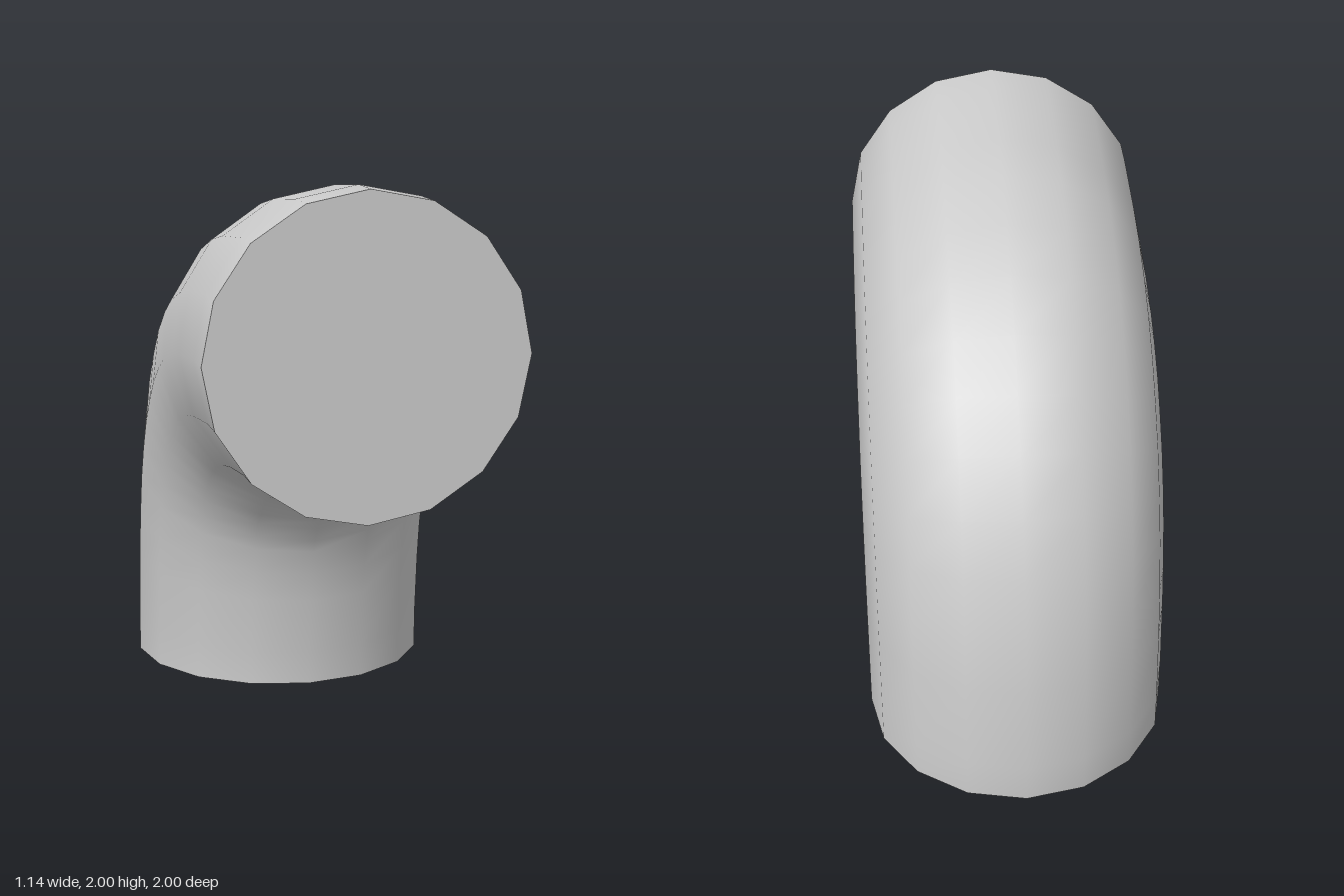
import * as THREE from 'three';

const RADIUS = 0.57;
const SIDES = 16;

// Centre line of the elbow up to its middle: [z, y, lean in degrees from vertical]
const HALF_PATH = [
  [-0.43, 0, 0],
  [-0.43, 0.14, 1.5],
  [-0.4, 0.418, 8],
  [-0.37, 0.581, 13.2],
  [-0.322, 0.747, 20.5],
  [-0.265, 0.87, 28.7],
  [-0.187, 0.994, 37],
  [-0.095, 1.095, 45],
];

// The second half mirrors the first across the diagonal
function fullPath() {
  const mirrored = HALF_PATH.slice(0, -1).reverse()
    .map(([z, y, lean]) => [1 - y, 1 - z, 90 - lean]);
  return [...HALF_PATH, ...mirrored];
}

// Sweep a ring of constant radius along the path
function pipeGeometry(path) {
  const positions = [];
  const indices = [];
  path.forEach(([z, y, lean], i) => {
    const a = THREE.MathUtils.degToRad(lean);
    for (let j = 0; j < SIDES; j++) {
      const t = (j / SIDES) * Math.PI * 2;
      const out = RADIUS * Math.cos(t);
      positions.push(RADIUS * Math.sin(t), y + out * Math.sin(a), z - out * Math.cos(a));
      if (i === path.length - 1) continue;
      const p = i * SIDES + j;
      const q = i * SIDES + ((j + 1) % SIDES);
      indices.push(p, p + SIDES, q, q, p + SIDES, q + SIDES);
    }
  });
  const geometry = new THREE.BufferGeometry();
  geometry.setAttribute('position', new THREE.Float32BufferAttribute(positions, 3));
  geometry.setIndex(indices);
  geometry.computeVertexNormals();
  return geometry;
}

export function createModel() {
  const group = new THREE.Group();
  group.name = 'pipeElbow';
  const material = new THREE.MeshStandardMaterial({ color: 0xcccccc });

  const pipe = new THREE.Mesh(pipeGeometry(fullPath()), material);
  pipe.name = 'bentPipe';

  // Flat discs closing both ends
  const disc = new THREE.CircleGeometry(RADIUS, SIDES);
  const frontCap = new THREE.Mesh(disc, material);
  frontCap.name = 'frontCap';
  frontCap.position.set(0, 1.43, 1);

  const bottomCap = new THREE.Mesh(disc, material);
  bottomCap.name = 'bottomCap';
  bottomCap.rotation.x = Math.PI / 2;
  bottomCap.position.set(0, 0, -0.43);

  group.add(pipe, frontCap, bottomCap);
  return group;
}
